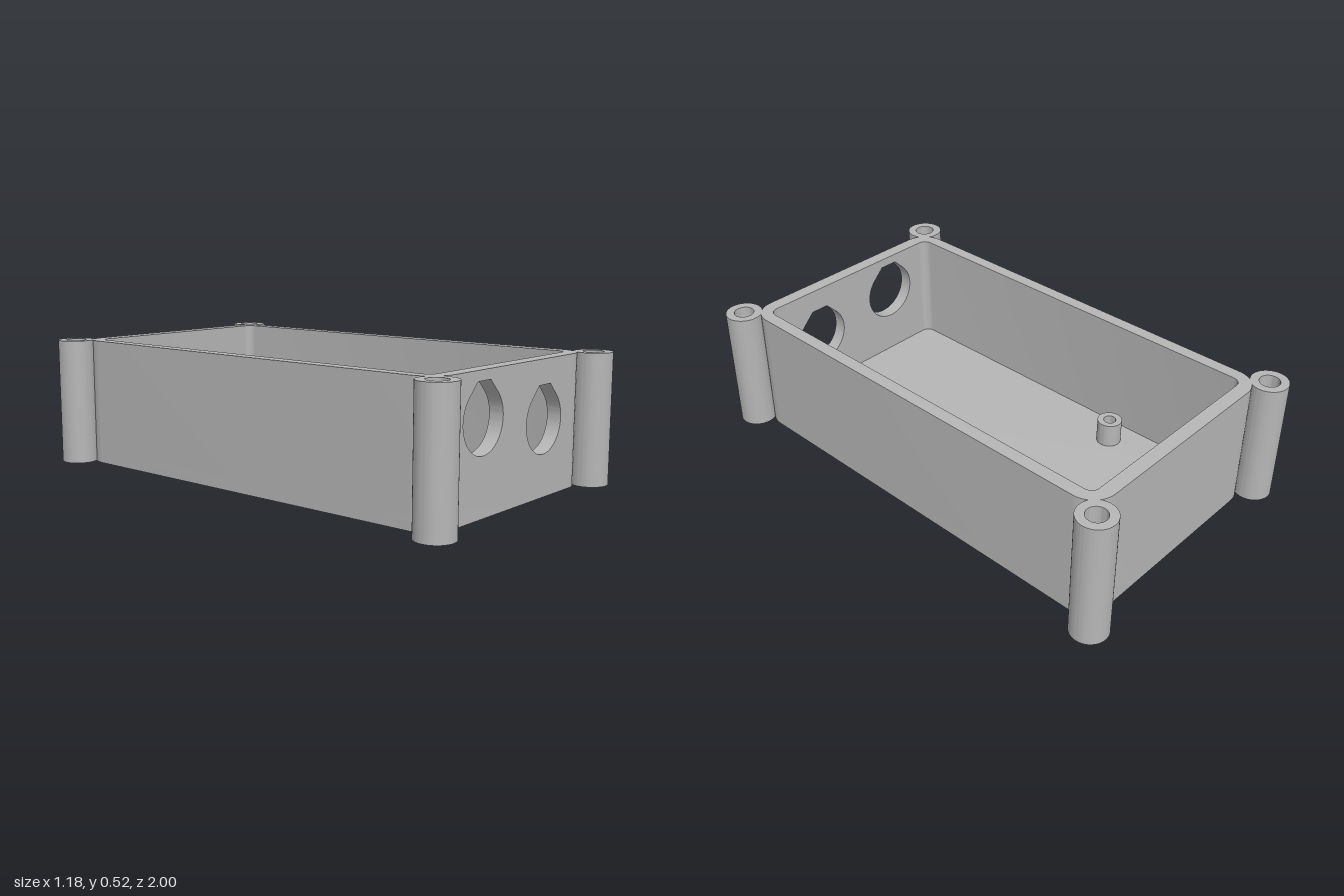
import * as THREE from 'three';
import { toCreasedNormals } from 'three/addons/utils/BufferGeometryUtils.js';

const HEIGHT = 0.517, FLOOR = 0.05;
const OUT = { x: 0.495, z: 0.907, r: 0.1 };    // outer outline half sizes and corner radius
const INN = { x: 0.443, z: 0.85, r: 0.035 };   // inner outline
const PANEL = OUT.x - OUT.r;                   // half width of the straight front panel

// Adds the four rounded corners of an outline, starting and ending at the front wall
function corners(path, o, clockwise) {
  const signs = [[1, -1], [1, 1], [-1, 1], [-1, -1]];
  const order = clockwise ? [3, 2, 1, 0] : [0, 1, 2, 3];
  for (const i of order) {
    const a = (i - 1) * Math.PI / 2, b = a + Math.PI / 2;
    path.absarc(signs[i][0] * (o.x - o.r), signs[i][1] * (o.z - o.r), o.r,
      clockwise ? b : a, clockwise ? a : b, clockwise);
  }
}

function extrude(shape, depth, curveSegments = 12) {
  const geo = new THREE.ExtrudeGeometry(shape, { depth, bevelEnabled: false, curveSegments });
  return toCreasedNormals(geo, 0.6);
}

// Extrudes a plan outline upwards from height y
const extrudeUp = (shape, y, depth, segments) =>
  extrude(shape, depth, segments).rotateX(-Math.PI / 2).translate(0, y, 0);

// Tube-shaped boss with a bore
function bossGeometry(radius, bore, y, height) {
  const ring = new THREE.Shape().absarc(0, 0, radius, 0, Math.PI * 2);
  ring.holes.push(new THREE.Path().absarc(0, 0, bore, 0, Math.PI * 2, true));
  return extrudeUp(ring, y, height, 40);
}

// Round port with a 45 degree roof and a flat top
function portPath(x, y) {
  const r = 0.123, top = 0.135, half = r * Math.SQRT2 - top;
  const path = new THREE.Path();
  path.moveTo(x + half, y + top);
  path.lineTo(x - half, y + top);
  path.absarc(x, y, r, Math.PI * 0.75, Math.PI * 2.25, false);
  path.closePath();
  return path;
}

export function createModel() {
  const model = new THREE.Group();
  model.name = 'enclosure';
  const grey = new THREE.MeshStandardMaterial({ color: 0xb6b6b6 });
  grey.name = 'grey plastic';
  const add = (name, geo, x = 0, z = 0) => {
    const mesh = new THREE.Mesh(geo, grey);
    mesh.name = name;
    mesh.position.set(x, 0, z);
    model.add(mesh);
  };

  // Floor plate
  const plan = new THREE.Shape();
  corners(plan, OUT, false);
  plan.closePath();
  add('floor', extrudeUp(plan, 0, FLOOR));

  // Side and back walls with all four corners
  const walls = new THREE.Shape();
  walls.moveTo(PANEL, -INN.z);
  walls.lineTo(PANEL, -OUT.z);
  corners(walls, OUT, false);
  walls.lineTo(-PANEL, -INN.z);
  corners(walls, INN, true);
  walls.closePath();
  add('sideAndBackWalls', extrudeUp(walls, FLOOR, HEIGHT - FLOOR));

  // Front wall with two ports
  const front = new THREE.Shape([
    new THREE.Vector2(-PANEL, FLOOR), new THREE.Vector2(PANEL, FLOOR),
    new THREE.Vector2(PANEL, HEIGHT), new THREE.Vector2(-PANEL, HEIGHT),
  ]);
  front.holes.push(portPath(-0.215, 0.344), portPath(0.189, 0.287));
  add('frontWall', extrude(front, OUT.z - INN.z, 40).translate(0, 0, INN.z));

  // Corner screw posts and inner standoffs
  const post = bossGeometry(0.074, 0.04, 0, HEIGHT);
  const standoff = bossGeometry(0.05, 0.025, FLOOR, 0.1);
  for (const sx of [-1, 1]) {
    const side = sx > 0 ? 'Left' : 'Right';
    add('frontPost' + side, post, sx * 0.516, 0.926);
    add('backPost' + side, post, sx * 0.516, -0.926);
    add('standoff' + side, standoff, sx * 0.33, -0.343);
  }
  return model;
}
